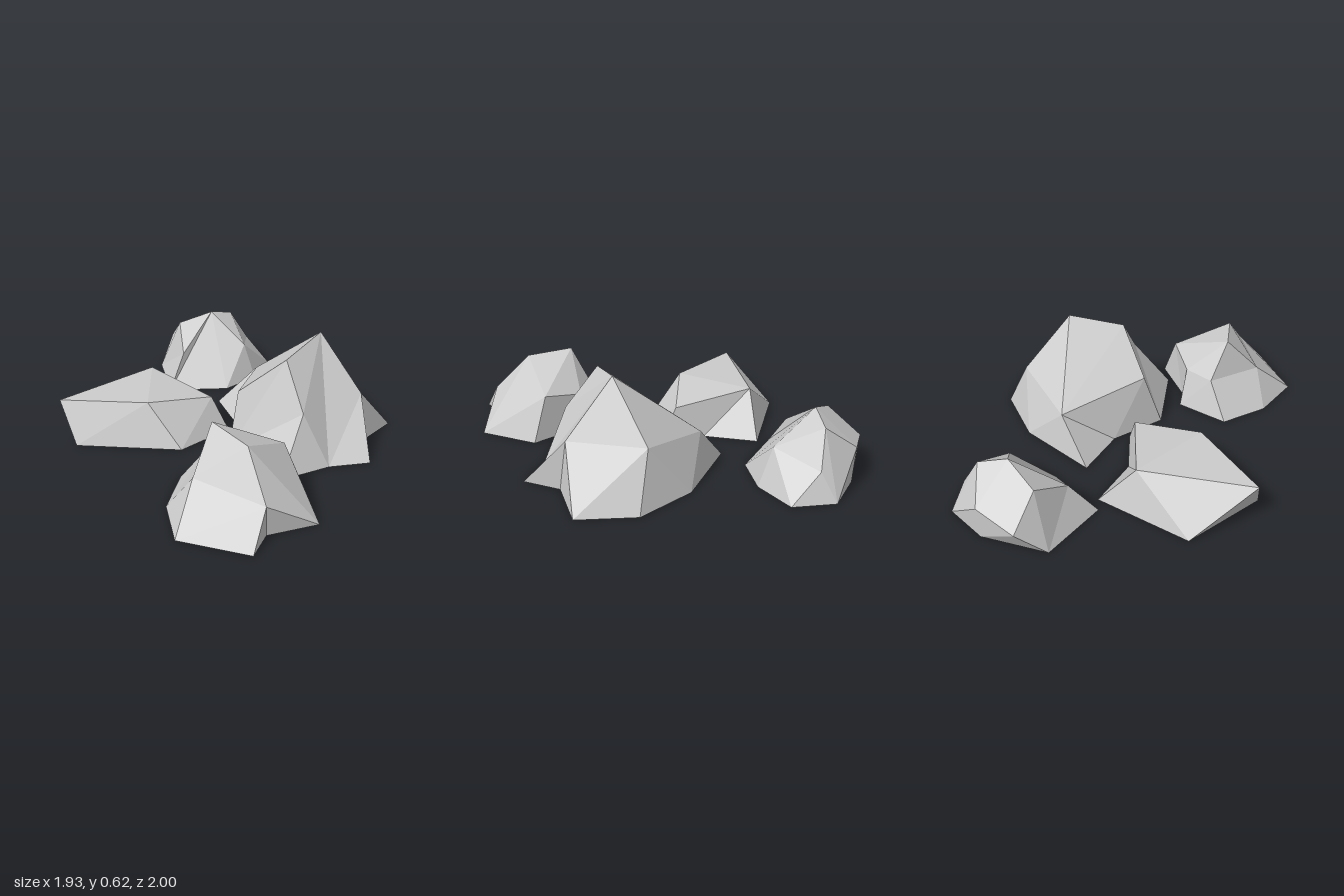
import * as THREE from 'three';

const material = new THREE.MeshStandardMaterial({ color: 0xcccccc, flatShading: true, side: THREE.DoubleSide });

// A faceted boulder, open underneath: ground outline [x, z], raised corners [x, y, z],
// and facets that index the outline first, then the raised corners.
function rock(name, outline, corners, facets) {
  const points = [...outline.map(([x, z]) => [x, 0, z]), ...corners];
  const positions = facets.flatMap((facet) => facet.flatMap((i) => points[i]));
  const geometry = new THREE.BufferGeometry();
  geometry.setAttribute('position', new THREE.Float32BufferAttribute(positions, 3));
  geometry.computeVertexNormals();
  const mesh = new THREE.Mesh(geometry, material);
  mesh.name = name;
  return mesh;
}

export function createModel() {
  const group = new THREE.Group();
  group.name = 'rockCluster';

  // Tall peaked boulder, back left
  group.add(rock('tallRock',
    [[0.155, 0.165], [0.575, 0.23], [0.7, -0.04], [0.855, -0.22], [0.69, -0.37],
      [0.705, -0.69], [0.38, -0.78], [0.045, -0.635], [-0.28, -0.28], [-0.02, -0.12]],
    [[0.39, 0.615, -0.38], [0.38, 0.55, -0.06], [0.14, 0.33, 0.06], [-0.09, 0.24, -0.42],
      [0.29, 0.31, -0.65], [0.66, 0.3, -0.41], [0.55, 0.3, 0.01]],
    [[0, 1, 16], [0, 16, 11], [0, 11, 12], [1, 2, 16], [16, 10, 11], [16, 2, 10],
      [2, 15, 10], [2, 3, 15], [3, 4, 15], [4, 5, 15], [5, 14, 15], [15, 14, 10],
      [5, 6, 14], [6, 7, 14], [7, 13, 14], [14, 13, 10], [7, 8, 13], [8, 9, 13],
      [9, 12, 13], [9, 0, 12], [13, 12, 11], [13, 11, 10]]));

  // Low slab, front right
  group.add(rock('flatRock',
    [[-0.86, 0.27], [-0.56, 0.67], [-0.055, 0.33], [0, -0.03], [-0.27, -0.04], [-0.54, -0.21]],
    [[-0.71, 0.235, 0.64], [-0.27, 0.25, 0.37], [-0.105, 0.195, 0], [-0.58, 0.25, 0]],
    [[0, 1, 6], [1, 7, 6], [1, 2, 7], [2, 8, 7], [2, 3, 8], [3, 4, 8], [4, 9, 8],
      [4, 5, 9], [5, 0, 9], [0, 6, 9], [6, 7, 9], [7, 8, 9]]));

  // Rounded boulder, back right
  group.add(rock('backRock',
    [[-0.93, -0.455], [-0.62, -0.205], [-0.35, -0.45], [-0.31, -0.7], [-0.38, -0.95],
      [-0.62, -1], [-0.81, -0.82]],
    [[-0.65, 0.4, -0.66], [-0.62, 0.355, -0.825], [-0.81, 0.325, -0.52], [-0.97, 0.165, -0.62],
      [-0.82, 0.21, -0.825], [-0.64, 0.2, -0.36], [-0.395, 0.22, -0.69], [-0.555, 0.16, -0.925]],
    [[0, 1, 12], [0, 12, 9], [0, 9, 10], [12, 7, 9], [1, 7, 12], [1, 2, 7], [2, 13, 7],
      [2, 3, 13], [3, 4, 13], [4, 14, 13], [14, 8, 13], [13, 8, 7], [4, 5, 14], [5, 8, 14],
      [5, 11, 8], [5, 6, 11], [6, 10, 11], [6, 0, 10], [10, 9, 11], [9, 7, 11], [7, 8, 11]]));

  // Stubby boulder, front left
  group.add(rock('frontRock',
    [[0.13, 0.55], [0.26, 0.81], [0.49, 1], [0.86, 0.86], [0.81, 0.69], [0.96, 0.45],
      [0.7, 0.21], [0.43, 0.31], [0.31, 0.29]],
    [[0.37, 0.43, 0.57], [0.63, 0.4, 0.61], [0.82, 0.18, 0.71], [0.41, 0.21, 0.77],
      [0.27, 0.21, 0.47], [0.61, 0.26, 0.27], [0.38, 0.22, 0.33]],
    [[0, 1, 13], [1, 12, 13], [13, 12, 9], [1, 2, 12], [2, 3, 11], [2, 11, 12], [12, 11, 10],
      [12, 10, 9], [3, 4, 11], [4, 5, 11], [5, 10, 11], [5, 14, 10], [5, 6, 14], [6, 7, 14],
      [7, 15, 14], [7, 8, 15], [8, 13, 15], [8, 0, 13], [13, 9, 15], [9, 10, 14], [9, 14, 15]]));

  return group;
}
